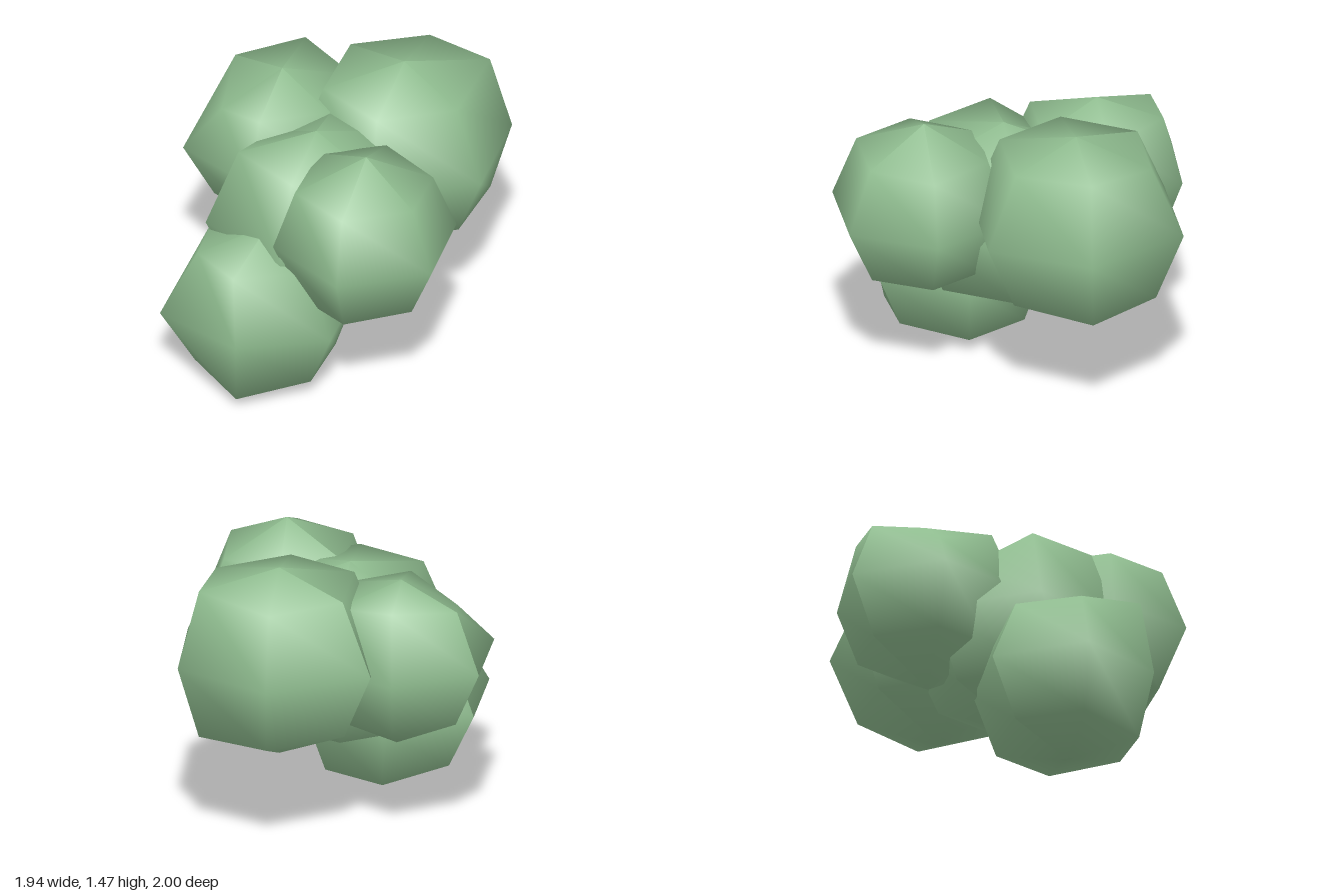
import * as THREE from 'three';

// One leafy clump: a six-sided, four-band ball with its own height and radii per ring.
// rings, top to bottom: [y, radius along x, radius along z, optional x and z shift].
// nudges: [ring, corner, dx, dy, dz]; corners run from -x through +z, +x and -z.
function clump(name, material, [cx, cz], rings, nudges = []) {
  const geometry = new THREE.SphereGeometry(1, 6, 4);
  const p = geometry.attributes.position;
  for (let i = 0; i < p.count; i++) {
    const ring = Math.floor(i / 7), corner = (i % 7) % 6;
    const [y, rx, rz, sx = 0, sz = 0] = rings[ring];
    const a = corner * Math.PI / 3;
    const v = new THREE.Vector3(cx + sx - rx * Math.cos(a), y, cz + sz + rz * Math.sin(a));
    for (const [r, c, dx, dy, dz] of nudges) {
      if (r === ring && c === corner) v.add(new THREE.Vector3(dx, dy, dz));
    }
    p.setXYZ(i, v.x, v.y, v.z);
  }
  geometry.computeVertexNormals();
  const mesh = new THREE.Mesh(geometry, material);
  mesh.name = name;
  return mesh;
}

export function createModel() {
  const group = new THREE.Group();
  group.name = 'foliageCluster';
  const leaf = new THREE.MeshStandardMaterial({ color: 0x8fbc8f });
  leaf.name = 'leafGreen';

  // Middle clump, joining the others
  group.add(clump('centerClump', leaf, [0, 0.13],
    [[1.31, 0, 0], [1.24, 0.41, 0.42], [0.83, 0.57, 0.59], [0.46, 0.41, 0.43], [0.31, 0, 0]],
    [[1, 0, 0.08, -0.1, 0], [2, 1, 0, 0, 0.01], [2, 2, -0.02, 0, -0.01]]));

  // Large clump at the back
  group.add(clump('backClump', leaf, [0.01, -0.48],
    [[1.47, 0, 0], [1.37, 0.41, 0.44], [0.99, 0.59, 0.58], [0.62, 0.42, 0.46], [0.43, 0, 0]],
    [[1, 4, 0.02, 0.04, -0.02], [1, 5, 0, -0.01, 0.01], [2, 5, 0, 0.01, -0.02],
      [2, 4, 0, 0, 0.01], [3, 4, 0.01, -0.02, -0.01]]));

  // Side clumps
  group.add(clump('leftClump', leaf, [0.47, 0.21],
    [[1.42, 0, 0], [1.26, 0.36, 0.39], [0.93, 0.49, 0.5], [0.62, 0.35, 0.37], [0.54, 0, 0]],
    [[1, 4, 0, -0.02, 0.03], [1, 5, 0, 0, 0.03], [2, 2, 0.01, 0, 0.01], [2, 3, 0.01, 0, 0],
      [2, 4, 0, 0, 0.02], [3, 1, 0, -0.02, 0], [3, 2, 0, -0.02, 0], [3, 4, 0, 0, 0.03], [3, 5, 0, 0, 0.03]]));
  group.add(clump('rightClump', leaf, [-0.47, -0.06],
    [[1.38, 0, 0], [1.28, 0.36, 0.38], [0.96, 0.5, 0.51], [0.65, 0.35, 0.37], [0.46, 0, 0, 0.03, 0]],
    [[1, 1, 0.03, -0.1, -0.04], [1, 5, 0, 0.05, 0], [2, 1, -0.01, 0, 0.02], [2, 5, 0.01, 0, 0.03]]));

  // Low clump at the front, resting on the ground
  group.add(clump('frontClump', leaf, [0.01, 0.52],
    [[0.92, 0, 0, 0.04, 0], [0.78, 0.36, 0.42], [0.43, 0.52, 0.51], [0.1, 0.37, 0.4], [0, 0, 0]],
    [[1, 1, 0.01, 0, -0.06], [1, 2, 0, 0.04, 0.01], [2, 1, -0.01, 0, 0.035], [2, 2, -0.02, 0, -0.03],
      [3, 0, 0.01, 0.02, 0], [3, 1, 0.02, 0.02, -0.02], [3, 2, 0, -0.04, 0.01], [3, 4, 0, -0.02, 0], [3, 5, 0, -0.02, 0]]));

  return group;
}
